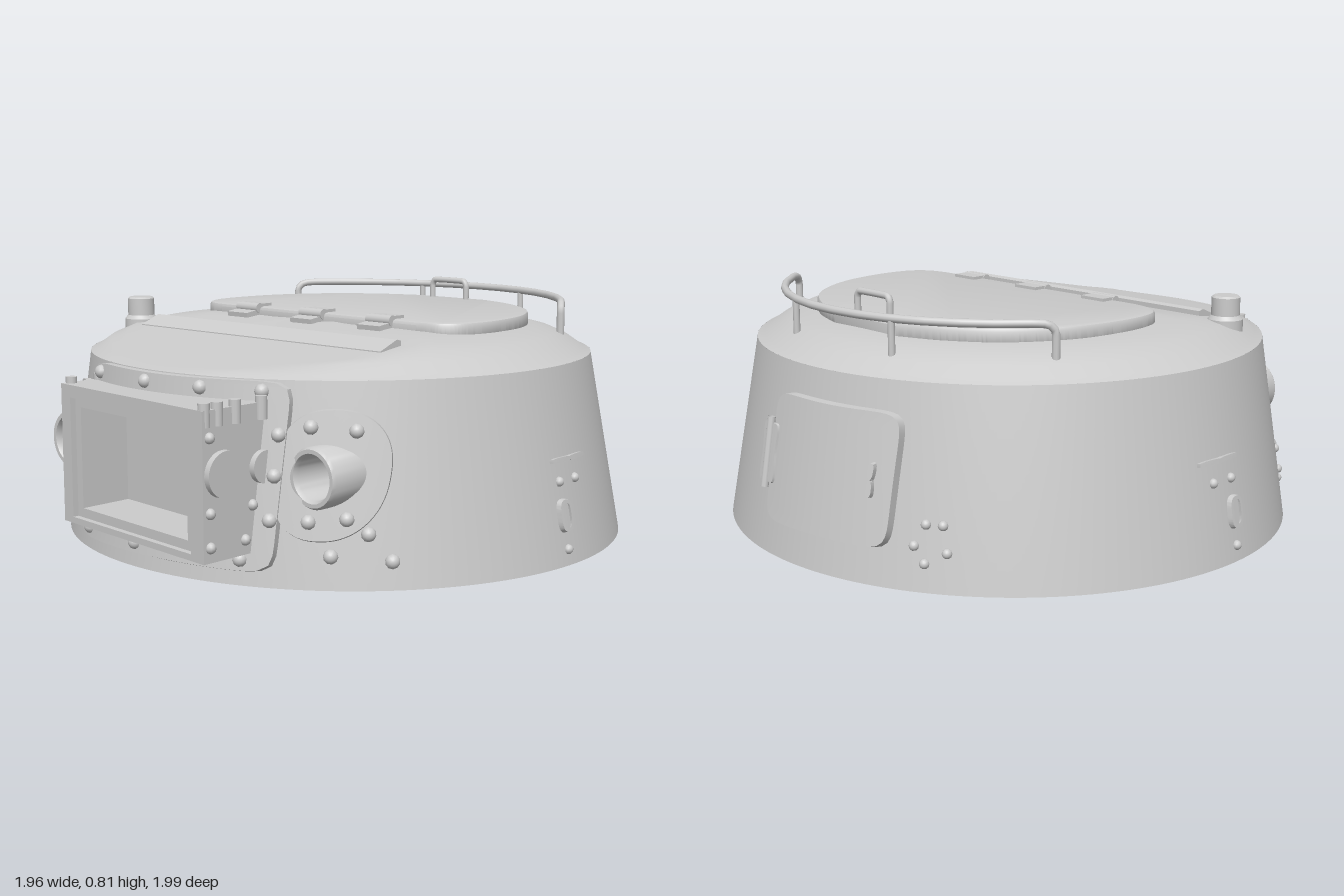
import * as THREE from 'three';
import { toCreasedNormals } from 'three/addons/utils/BufferGeometryUtils.js';

const mat = new THREE.MeshStandardMaterial({ color: 0xcccccc, side: THREE.DoubleSide });
const V = (x, y, z) => new THREE.Vector3(x, y, z);
const TOP = 0.61;

export function createModel() {
  const root = new THREE.Group();
  const add = (name, geo, x = 0, y = 0, z = 0) => {
    const m = new THREE.Mesh(geo, mat);
    m.name = name;
    m.position.set(x, y, z);
    root.add(m);
    return m;
  };

  // Surface from a rule f(column, row); skipped cells become openings
  const grid = (f, nu, nv, skip) => {
    const p = [], idx = [];
    for (let j = 0; j <= nv; j++)
      for (let i = 0; i <= nu; i++) p.push(...f(i, j).toArray());
    for (let j = 0; j < nv; j++)
      for (let i = 0; i < nu; i++) {
        if (skip && skip(f(i + 0.5, j + 0.5))) continue;
        const a = j * (nu + 1) + i, c = a + nu + 1;
        idx.push(a, a + 1, c + 1, a, c + 1, c);
      }
    const g = new THREE.BufferGeometry();
    g.setAttribute('position', new THREE.Float32BufferAttribute(p, 3));
    g.setIndex(idx);
    return toCreasedNormals(g, 0.6);
  };

  // Tapered wall: angle and height to a point
  const ring = (a, y) => {
    const t = y / TOP;
    return V((0.975 - 0.108 * t) * Math.sin(a), y,
      -0.05 + 0.015 * t + (0.945 - 0.09 * t) * Math.cos(a));
  };
  const normal = a => V(Math.sin(a), 0.17, Math.cos(a)).normalize();
  // Point on the wall seen flat from direction a0, lifted by off
  const wall = (u, v, off = 0, a0 = 0) => {
    const a = a0 + Math.asin(u / (0.975 - 0.108 * v / TOP));
    return ring(a, v).addScaledVector(normal(a), off);
  };

  const PORTS = [[-0.425, 0.335, 0.1, 0.15, 0.815], [0.588, 0.335, 0.093, 0.135, 0.71]];
  const opening = p => p.z > 0 && ((p.x > -0.25 && p.x < 0.38 && p.y > 0.12 && p.y < 0.5)
    || PORTS.some(q => Math.hypot(p.x - q[0], p.y - q[1]) < q[2] * 0.85));
  add('wall', grid((i, j) => ring(i / 192 * Math.PI * 2, j / 24 * TOP), 192, 24, opening));

  // Roof: domed edge cut by a plane falling to the front
  const dome = [[1, 0.61], [0.97, 0.622], [0.92, 0.652], [0.86, 0.675], [0.78, 0.692], [0.6, 0.706],
    [0.4, 0.71], [0.2, 0.71], [0, 0.71]];
  const roofY = (y, z) => Math.min(y, 0.612 + (0.82 - z) * 0.137);
  add('roof', grid((i, j) => {
    const k = Math.floor(j), d = dome[k], e = dome[Math.min(k + 1, 8)], f = j - k;
    const p = ring(i / 128 * Math.PI * 2, TOP), t = d[0] + (e[0] - d[0]) * f;
    const x = p.x * t, z = -0.035 + (p.z + 0.035) * t;
    return V(x, roofY(d[1] + (e[1] - d[1]) * f, z), z);
  }, 128, 8, p => Math.hypot(p.x + 0.66, p.z - 0.315) < 0.03));

  // Curved plate lying on the wall, rounded outline a x b, optional opening
  const plate = (name, a0, cx, cy, a, b, n, th, hole = [0.001, 0.001, 2, 0, 0]) => {
    const R = (f, w, h, m) =>
      Math.pow(Math.abs(Math.cos(f) / w) ** m + Math.abs(Math.sin(f) / h) ** m, -1 / m);
    const [ha, hb, hn, hx, hy] = hole;
    add(name, grid((i, j) => {
      const f = i / 96 * Math.PI * 2, k = Math.min(1, Math.max(0, (j - 2) / 6));
      const o = R(f, a, b, n) - (j === 1 || j >= 2 ? 0.25 * th : 0), q = R(f, ha, hb, hn);
      const u = cx + Math.cos(f) * (o + (q - o) * k) + hx * k;
      const v = cy + Math.sin(f) * (o + (q - o) * k) + hy * k;
      return wall(u, v, j === 0 ? -0.005 : th, a0);
    }, 96, 8));
  };

  // Domed bolts on the wall
  const bolt = (u, v, off = 0, a0 = 0, r = 0.023) => {
    const p = wall(u, v, off, a0);
    const g = new THREE.SphereGeometry(r, 10, 5, 0, Math.PI * 2, 0, Math.PI / 2);
    const m = add('bolt', g, p.x, p.y, p.z);
    m.quaternion.setFromUnitVectors(V(0, 1, 0), normal(Math.atan2(p.x, p.z + 0.045)));
  };

  // Front flange and its bolts
  plate('frontFlange', 0, 0.09, 0.325, 0.4, 0.283, 14, 0.025, [0.32, 0.2, 14, -0.02, 0]);
  for (const x of [-0.245, 0.01, 0.225, 0.41]) bolt(x, 0.575, 0.022);
  for (const x of [-0.235, 0.02, 0.24, 0.395]) bolt(x, 0.08, 0.022);
  for (const y of [0.2, 0.33, 0.45]) bolt(0.465, y, 0.022);

  // Ports: flange on the wall, open tube and bolts
  for (const [x, y, r, a, front] of PORTS) {
    plate('portFlange', 0, x, y, a, 0.195, 2.3, 0.02, [r * 0.9, r * 0.9, 2, 0, 0]);
    const prof = [[r * 0.72, -0.2], [r * 0.72, -0.015], [r * 0.8, 0], [r * 0.93, 0], [r, -0.01], [r, -0.2]]
      .reverse().map(p => new THREE.Vector2(...p));
    const tube = add('portTube', toCreasedNormals(new THREE.LatheGeometry(prof, 40), 0.6), x, y, front);
    tube.rotation.x = Math.PI / 2;
  }
  for (const [x, y] of [[-0.48, 0.48], [-0.35, 0.49], [-0.495, 0.215], [-0.365, 0.21],
    [0.54, 0.475], [0.64, 0.465], [0.56, 0.2], [0.645, 0.21]]) bolt(x, y, 0.018);
  for (const [x, y] of [[0.695, 0.165], [0.75, 0.085], [0.62, 0.1]]) bolt(x, y);

  // Rivet clusters, front and back
  for (const [a0, cx, cy] of [[0, -0.685, 0.14], [Math.PI, 0.49, 0.14]])
    for (const [u, v] of [[-0.02, 0.06], [0.025, 0.06], [-0.045, -0.005], [0.045, -0.02], [-0.01, -0.055]])
      bolt(cx + u, cy + v, 0, a0, 0.016);

  // Gun box: hollow, front face set slightly askew
  const skew = g => {
    const p = g.attributes.position;
    for (let i = 0; i < p.count; i++) p.setZ(i, p.getZ(i) + 0.07 * (p.getX(i) - 0.43));
    g.computeVertexNormals();
    return g;
  };
  const rect = (C, x0, x1, y0, y1) => {
    const s = new C();
    s.moveTo(x0, y0); s.lineTo(x1, y0); s.lineTo(x1, y1); s.lineTo(x0, y1); s.closePath();
    return s;
  };
  const frame = (name, o, h, z0, z1) => {
    const s = rect(THREE.Shape, ...o);
    s.holes.push(rect(THREE.Path, ...h));
    const g = new THREE.ExtrudeGeometry(s, { depth: z1 - z0, bevelEnabled: false });
    g.translate(0, 0, z0);
    add(name, skew(g));
  };
  frame('gunBox', [-0.295, 0.435, 0.105, 0.55], [-0.245, 0.375, 0.125, 0.51], 0.72, 0.99);
  frame('gunBoxInnerFrame', [-0.245, 0.375, 0.125, 0.51], [-0.215, 0.335, 0.155, 0.48], 0.77, 0.97);
  const back = new THREE.BoxGeometry(0.62, 0.385, 0.02);
  back.translate(0.065, 0.317, 0.78);
  add('gunBoxBack', skew(back));
  // Round bosses, corner pins and side rivets of the box
  const boss = (x, y, z, r) => {
    add('boxBoss', new THREE.CylinderGeometry(r, r, 0.03, 28), x, y, z).rotation.z = Math.PI / 2;
  };
  boss(0.44, 0.36, 0.915, 0.07);
  boss(0.44, 0.36, 0.76, 0.05);
  boss(-0.3, 0.35, 0.84, 0.07);
  for (const [x, z] of [[0.42, 0.97], [0.425, 0.925], [0.43, 0.86], [0.435, 0.76], [-0.28, 0.91], [-0.28, 0.8]])
    add('boxPin', new THREE.CylinderGeometry(0.018, 0.018, 0.07, 12), x, 0.535, z);
  for (const [y, z] of [[0.25, 0.965], [0.15, 0.965], [0.15, 0.83], [0.47, 0.965], [0.25, 0.8]])
    add('boxRivet', new THREE.SphereGeometry(0.017, 10, 8), 0.436, y, z);

  // Side vision slits with pistol port and rivets
  for (const [a0, s, c] of [[Math.PI / 2, 1, 0], [-Math.PI / 2, -1, 0.06]]) {
    plate('visionSlit', a0, c + s * 0.06, 0.325, 0.095, 0.009, 8, 0.012);
    plate('pistolPort', a0, c, 0.155, 0.034, 0.053, 3, 0.016, [0.02, 0.038, 3, 0, 0]);
    for (const [u, v] of [[0, 0.26], [0.09, 0.26], [0, 0.05]]) bolt(c + s * u, v, 0, a0, 0.016);
  }

  // Back door with hinge and grip
  plate('backDoor', Math.PI, 0.13, 0.315, 0.25, 0.205, 9, 0.028);
  plate('doorHinge', Math.PI, -0.125, 0.32, 0.045, 0.1, 10, 0.035);
  const pin = new THREE.CatmullRomCurve3([0.21, 0.32, 0.43].map(v => wall(-0.125, v, 0.035, Math.PI)));
  add('doorHingePin', new THREE.TubeGeometry(pin, 8, 0.013, 10));
  plate('doorGrip', Math.PI, 0.31, 0.315, 0.012, 0.06, 4, 0.045);

  // Roof hatch: D-shaped lid with a bevelled edge
  const half = [[0.46, -0.085], [0.54, -0.065], [0.59, 0], [0.6, 0.14], [0.56, 0.32], [0.45, 0.49],
    [0.3, 0.6], [0.15, 0.658]];
  const lid = new THREE.Shape();
  lid.moveTo(-0.46, -0.085);
  lid.lineTo(0.46, -0.085);
  lid.splineThru(half.slice(1).map(p => new THREE.Vector2(...p)));
  lid.lineTo(-0.15, 0.658);
  lid.splineThru(half.slice(0, -1).reverse().map(p => new THREE.Vector2(-p[0], p[1])));
  const lidGeo = new THREE.ExtrudeGeometry(lid, { depth: 0.035, bevelSize: 0.015, bevelThickness: 0.012,
    bevelSegments: 2, curveSegments: 40 });
  add('hatch', toCreasedNormals(lidGeo, 0.5), 0, 0.69, 0).rotation.x = -Math.PI / 2;

  // Hatch hinges
  for (const x of [-0.315, 0, 0.31]) {
    add('hingeLeaf', new THREE.BoxGeometry(0.1, 0.016, 0.06), x, 0.739, 0.07);
    add('hingeFoot', new THREE.BoxGeometry(0.1, 0.03, 0.06), x, 0.708, 0.13).rotation.x = 0.14;
    add('hingeBarrel', new THREE.CylinderGeometry(0.018, 0.018, 0.105, 14), x, 0.732, 0.1)
      .rotation.z = Math.PI / 2;
  }

  // Splash strip: wedge with a steep back
  const wedge = new THREE.Shape([[-0.385, 0.64], [-0.29, 0.64], [-0.29, 0.7], [-0.31, 0.705], [-0.385, 0.675]]
    .map(p => new THREE.Vector2(...p)));
  const strip = new THREE.ExtrudeGeometry(wedge, { depth: 1.135, bevelEnabled: false });
  add('splashStrip', strip, -0.57, 0, 0).rotation.y = Math.PI / 2;

  // Roof periscope, open underneath
  const scope = [[0.058, 0.63], [0.058, 0.685], [0.047, 0.698], [0.047, 0.757], [0.04, 0.763], [0, 0.763]];
  add('periscope', toCreasedNormals(
    new THREE.LatheGeometry(scope.map(p => new THREE.Vector2(...p)), 28), 0.5), -0.66, 0, 0.315);

  // Grab rail with posts, and hatch handle
  const rod = (name, pts, r, type = 'catmullrom') => add(name,
    new THREE.TubeGeometry(new THREE.CatmullRomCurve3(pts, false, type, 0.2), 90, r, 10));
  const arc = (a, y) => V(0.754 * Math.sin(a), y, -0.046 - 0.754 * Math.cos(a));
  const rail = [arc(-0.99, 0.66), arc(-0.99, 0.745), arc(-0.96, 0.768)];
  for (let i = -6; i <= 6; i++) rail.push(arc(i * 0.15, 0.772));
  rail.push(arc(0.96, 0.768), arc(0.99, 0.745), arc(0.99, 0.66));
  rod('grabRail', rail, 0.013);
  for (const a of [-0.32, 0.32])
    add('railPost', new THREE.CylinderGeometry(0.011, 0.011, 0.13, 10), ...arc(a, 0.71).toArray());
  rod('hatchHandle', [[-0.08, 0.72], [-0.08, 0.785], [-0.065, 0.803], [0.065, 0.803], [0.08, 0.785], [0.08, 0.72]]
    .map(([x, y]) => V(x, y, -0.635)), 0.011);
  return root;
}
